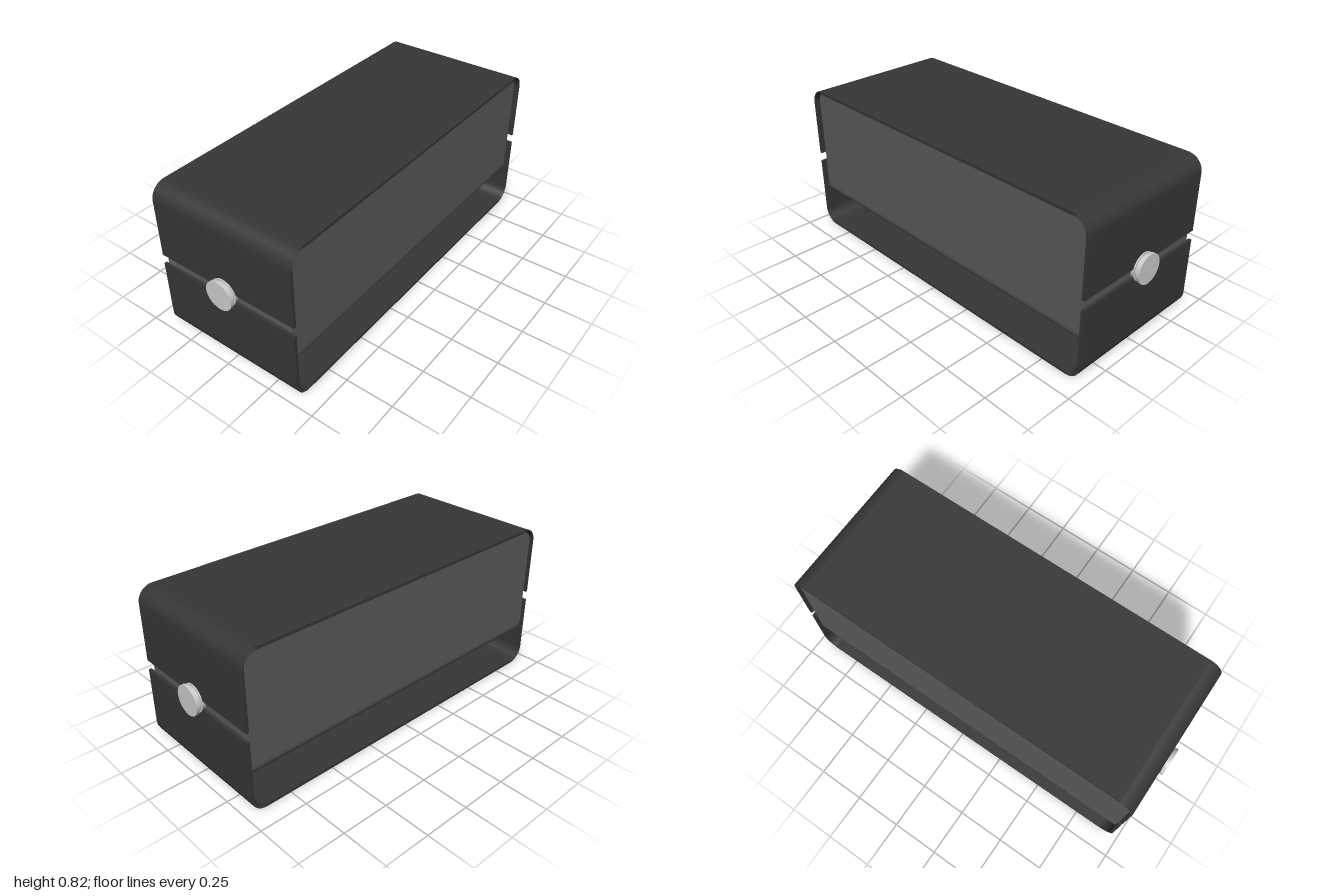
import * as THREE from 'three';

const WIDTH = 0.79, HEIGHT = 0.82, HALF = 0.965, WALL = 0.015, R = 0.08;

const shellMat = new THREE.MeshStandardMaterial({ color: 0x363636 });
const bendMat = new THREE.MeshStandardMaterial({ color: 0x363636, side: THREE.DoubleSide });
const bodyMat = new THREE.MeshStandardMaterial({ color: 0x5a5a5a });
const flangeMat = new THREE.MeshStandardMaterial({ color: 0x636366 });
const knobMat = new THREE.MeshStandardMaterial({ color: 0xcccccc });

function add(parent, name, geometry, material, x = 0, y = 0, z = 0) {
  const mesh = new THREE.Mesh(geometry, material);
  mesh.name = name;
  mesh.position.set(x, y, z);
  parent.add(mesh);
  return mesh;
}

// Flat panel given by its y and z limits, full shell width
function panel(parent, name, y0, y1, z0, z1) {
  add(parent, name, new THREE.BoxGeometry(WIDTH, y1 - y0, z1 - z0), shellMat, 0, (y0 + y1) / 2, (z0 + z1) / 2);
}

// Wrap-around sleeve, split by a slot across each end
function createSleeve() {
  const sleeve = new THREE.Group();
  sleeve.name = 'sleeve';
  panel(sleeve, 'topPanel', HEIGHT - WALL, HEIGHT, -HALF + R, HALF - R);
  panel(sleeve, 'bottomPanel', 0, WALL, -HALF + R, HALF - R);
  for (const [end, s] of [['front', 1], ['back', -1]]) {
    const z0 = Math.min(s * HALF, s * (HALF - WALL));
    panel(sleeve, end + 'UpperPanel', 0.435, HEIGHT - R, z0, z0 + WALL);
    panel(sleeve, end + 'LowerPanel', R, 0.385, z0, z0 + WALL);
  }
  // Rounded bends, open at the sides
  const bends = [['frontTop', 1, 1], ['backTop', 1, -1], ['backBottom', -1, -1], ['frontBottom', -1, 1]];
  bends.forEach(([name, sy, sz], i) => {
    for (const [layer, r] of [['Outer', R], ['Inner', R - WALL]]) {
      const g = new THREE.CylinderGeometry(r, r, WIDTH, 16, 1, true, i * Math.PI / 2, Math.PI / 2);
      g.rotateZ(Math.PI / 2);
      add(sleeve, name + layer + 'Bend', g, bendMat, 0, sy > 0 ? HEIGHT - R : R, sz * (HALF - R));
    }
  });
  return sleeve;
}

// Inner tray: rounded long bottom edges, clipped top corners
function createTray() {
  const tray = new THREE.Group();
  tray.name = 'tray';
  const x0 = -0.38, x1 = 0.37, y0 = 0.165, y1 = 0.804, r = 0.075, half = 0.948;
  const s = new THREE.Shape();
  s.moveTo(x0, 0.77);
  s.lineTo(x0, y0 + r);
  s.absarc(x0 + r, y0 + r, r, Math.PI, Math.PI * 1.5);
  s.lineTo(x1 - r, y0);
  s.absarc(x1 - r, y0 + r, r, Math.PI * 1.5, Math.PI * 2);
  s.lineTo(x1, 0.77);
  const g = new THREE.ExtrudeGeometry(s, { depth: half * 2, bevelEnabled: false, curveSegments: 12 });
  g.translate(0, 0, -half);
  // Smooth the normals around the rounded bottom edges
  const p = g.attributes.position, n = g.attributes.normal;
  for (let i = 0; i < p.count; i++) {
    if (Math.abs(n.getZ(i)) > 0.5 || p.getY(i) > y0 + r + 0.001) continue;
    const x = p.getX(i);
    const cx = THREE.MathUtils.clamp(x, x0 + r, x1 - r);
    n.setXYZ(i, (x - cx) / r, (p.getY(i) - y0 - r) / r, 0);
  }
  add(tray, 'trayBody', g, bodyMat);

  // Clipped strip closing the tray under the top panel
  const cap = new THREE.Shape([
    [-half, 0.77], [half, 0.77], [half - 0.035, y1 - 0.006], [half - 0.06, y1],
    [-half + 0.06, y1], [-half + 0.035, y1 - 0.006],
  ].map(([z, y]) => new THREE.Vector2(z, y)));
  const cg = new THREE.ExtrudeGeometry(cap, { depth: x1 - x0, bevelEnabled: false });
  cg.rotateY(-Math.PI / 2);
  add(tray, 'trayTop', cg, bodyMat, x1);

  // Narrow folded flange seen through the front slot
  add(tray, 'frontFlange', new THREE.BoxGeometry(0.05, 0.5, 0.004), flangeMat, -0.355, 0.5, half);
  return tray;
}

// Thumb screw with stepped neck, axis along z
function createKnob(name, sign) {
  const profile = [[0, 0.945], [0.066, 0.945], [0.066, 0.965], [0.072, 0.965], [0.072, 0.971],
    [0.064, 0.971], [0.064, 0.984], [0.076, 0.984], [0.076, 1], [0, 1]];
  // Doubled points keep the steps crisp
  const pts = profile.flatMap(([r, h]) => [new THREE.Vector2(r, h), new THREE.Vector2(r, h)]).slice(1, -1);
  const g = new THREE.LatheGeometry(pts, 40);
  g.rotateX(sign * Math.PI / 2);
  const flat = g.toNonIndexed();
  flat.computeVertexNormals();
  return add(new THREE.Group(), name, flat, knobMat, -0.004, 0.42, 0);
}

export function createModel() {
  const model = new THREE.Group();
  model.name = 'slottedCase';
  model.add(createSleeve(), createTray(), createKnob('frontKnob', 1), createKnob('backKnob', -1));
  return model;
}
